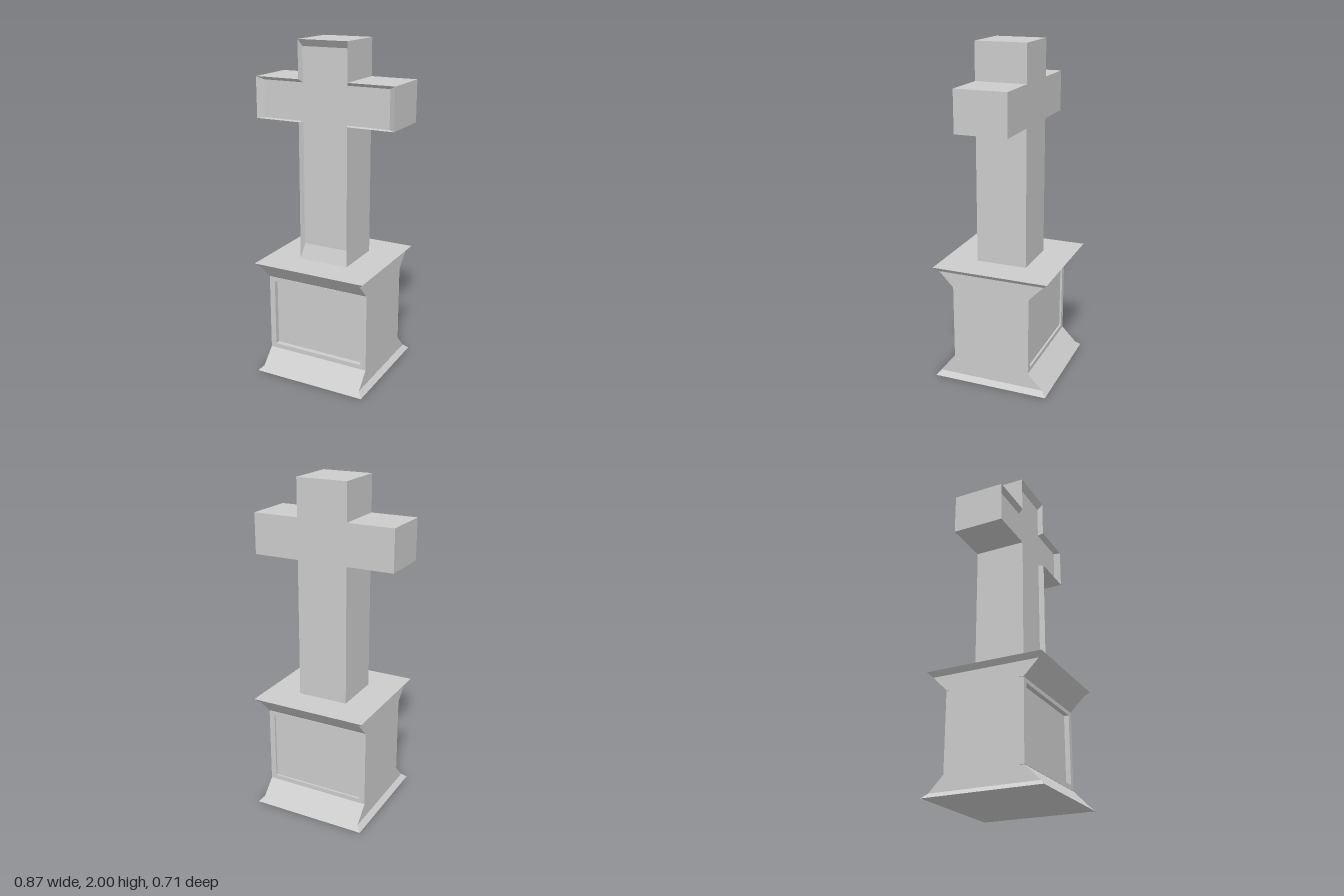
import * as THREE from 'three';

const material = new THREE.MeshStandardMaterial({ color: 0xcccccc, flatShading: true });

function addMesh(group, name, geometry) {
  const mesh = new THREE.Mesh(geometry, material);
  mesh.name = name;
  group.add(mesh);
  return mesh;
}

// Closed solid through matching counter-clockwise outlines, stacked along z
function loft(rings) {
  const pos = [];
  const put = (ring, i) => pos.push(...ring.pts[i], ring.z);
  const n = rings[0].pts.length;
  for (let r = 0; r < rings.length - 1; r++) {
    const a = rings[r], b = rings[r + 1];
    for (let i = 0; i < n; i++) {
      const j = (i + 1) % n;
      put(a, i); put(a, j); put(b, j);
      put(a, i); put(b, j); put(b, i);
    }
  }
  const cap = (ring, flip) => {
    const contour = ring.pts.map(([x, y]) => new THREE.Vector2(x, y));
    for (const [a, b, c] of THREE.ShapeUtils.triangulateShape(contour, [])) {
      put(ring, a); put(ring, flip ? c : b); put(ring, flip ? b : c);
    }
  };
  cap(rings[0], true);
  cap(rings[rings.length - 1], false);
  const geometry = new THREE.BufferGeometry();
  geometry.setAttribute('position', new THREE.Float32BufferAttribute(pos, 3));
  geometry.computeVertexNormals();
  return geometry;
}

const rect = (w, h) => [[-w, -h], [w, -h], [w, h], [-w, h]];

// Cross outline: half widths of shaft and arms, then heights
function crossOutline(shaft, arm, bottom, armLow, armHigh, top) {
  const half = [[shaft, bottom], [shaft, armLow], [arm, armLow], [arm, armHigh], [shaft, armHigh], [shaft, top]];
  return [...half, ...half.map(([x, y]) => [-x, y]).reverse()];
}

// Rectangular frame around a sunken panel, extruded along z
function panelFrame(depth) {
  const shape = new THREE.Shape([[-0.325, 0.12], [0.325, 0.12], [0.325, 0.59], [-0.325, 0.59]].map(p => new THREE.Vector2(...p)));
  shape.holes.push(new THREE.Path([[-0.29, 0.147], [-0.29, 0.565], [0.29, 0.565], [0.29, 0.147]].map(p => new THREE.Vector2(...p))));
  return new THREE.ExtrudeGeometry(shape, { depth, bevelEnabled: false });
}

export function createModel() {
  const model = new THREE.Group();
  model.name = 'stoneCrossMonument';

  // Pedestal: flared foot and cornice, steeper overhang at front and back
  const pedestal = new THREE.Group();
  pedestal.name = 'pedestal';
  model.add(pedestal);
  const flare = [[0, 0.353, 0.353], [0.028, 0.325, 0.325], [0.118, 0.325, 0.236]];
  const toRings = levels => levels.map(([z, w, d]) => ({ z, pts: rect(w, d) }));
  addMesh(pedestal, 'foot', loft(toRings(flare)).rotateX(-Math.PI / 2));
  const cornice = flare.map(([y, w, d]) => [0.71 - y, w, d]).reverse();
  addMesh(pedestal, 'cornice', loft(toRings(cornice)).rotateX(-Math.PI / 2));

  // Pedestal core with a framed panel on front and back
  const frontDepth = 0.03, backDepth = 0.012, halfDepth = 0.236;
  const core = addMesh(pedestal, 'core', new THREE.BoxGeometry(0.65, 0.474, halfDepth * 2 - frontDepth - backDepth));
  core.position.set(0, 0.355, (backDepth - frontDepth) / 2);
  addMesh(pedestal, 'frontPanelFrame', panelFrame(frontDepth)).position.z = halfDepth - frontDepth;
  addMesh(pedestal, 'backPanelFrame', panelFrame(backDepth)).position.z = -halfDepth;

  // Cross: flat back, front face sunk behind a sloping rim
  const outer = crossOutline(0.154, 0.435, 0.71, 1.537, 1.78, 2);
  const inner = crossOutline(0.14, 0.395, 0.8, 1.54, 1.76, 1.96);
  addMesh(model, 'cross', loft([
    { z: -0.154, pts: outer },
    { z: 0.154, pts: outer },
    { z: 0.124, pts: inner },
  ]));

  return model;
}
